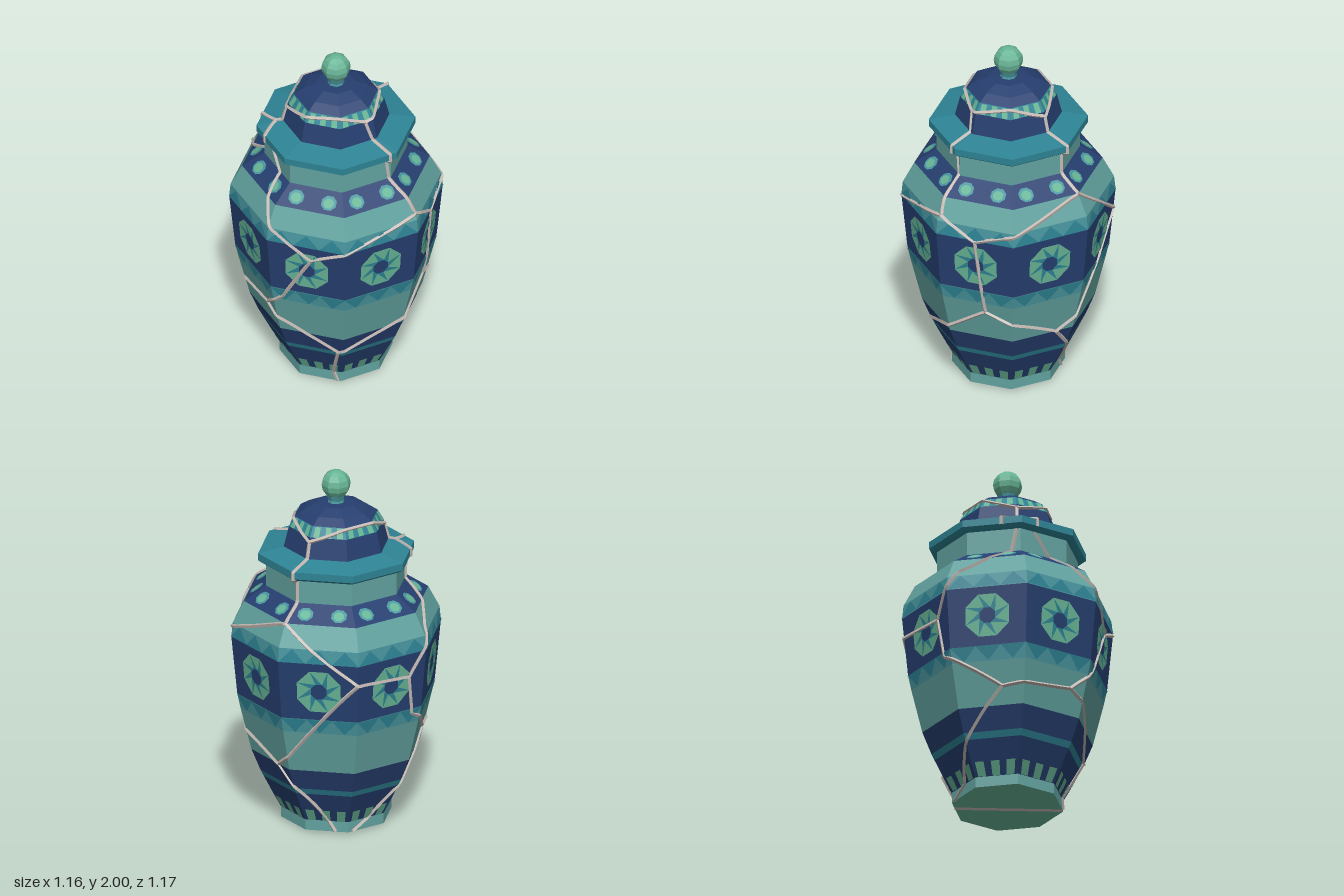
import * as THREE from 'three';
import { mergeGeometries } from 'three/addons/utils/BufferGeometryUtils.js';

const NAVY = 0x263f70, TEAL = 0x2e8495, MID = 0x4a97a0, PALE = 0x62a3a0, GREEN = 0x68b596, SEAM = 0xc4b8b2;
const SIDES = 8, STEP = Math.PI / 4;

// [radius, height, colour of the band above this level]
const BODY = [
  [0.305, 0.01, PALE], [0.305, 0.07, NAVY], [0.345, 0.145, NAVY], [0.40, 0.255, TEAL], [0.417, 0.29, NAVY],
  [0.467, 0.415, PALE], [0.527, 0.66, MID], [0.545, 0.745, NAVY], [0.578, 1.08, MID],
  [0.57, 1.16, PALE], [0.508, 1.28, NAVY], [0.387, 1.36, PALE], [0.387, 1.5, PALE],
];
const RIM = [[0.36, 1.49], [0.41, 1.495], [0.43, 1.51], [0.43, 1.55], [0.285, 1.58]];
const DOME = [
  [0.29, 1.575, NAVY], [0.26, 1.695, TEAL], [0.228, 1.75, NAVY], [0.175, 1.785, NAVY], [0.105, 1.815, NAVY], [0, 1.82, NAVY],
];
const KNOB_STEM = [[0.05, 1.8], [0.043, 1.83], [0.055, 1.87], [0.04, 1.89]];

function radiusAt(profile, y) {
  for (let i = 1; i < profile.length; i++) {
    const [r0, y0] = profile[i - 1], [r1, y1] = profile[i];
    if (y <= y1) return r0 + (r1 - r0) * Math.max(0, (y - y0) / (y1 - y0));
  }
  return profile[profile.length - 1][0];
}

function lathe(points) {
  return new THREE.LatheGeometry(points.map(([r, y]) => new THREE.Vector2(r, y)), SIDES);
}

function addMesh(parent, name, geometry, color) {
  const mesh = new THREE.Mesh(geometry, new THREE.MeshStandardMaterial({ color, flatShading: true }));
  mesh.name = name;
  parent.add(mesh);
}

// one mesh per colour, made of all the bands of that colour
function addBands(parent, name, profile) {
  for (const color of new Set(profile.slice(0, -1).map((p) => p[2]))) {
    const rings = [];
    for (let i = 0; i < profile.length - 1; i++) {
      if (profile[i][2] === color) rings.push(lathe([profile[i], profile[i + 1]]));
    }
    addMesh(parent, name, mergeGeometries(rings), color);
  }
}

// flat inlays: polygons drawn in (across, height), repeated on all eight facets
function addInlay(parent, name, profile, polygons, color, lift = 0.004) {
  const pos = [];
  for (let k = 0; k < SIDES; k++) {
    const a = (k + 0.5) * STEP, s = Math.sin(a), c = Math.cos(a);
    const put = ([u, y]) => {
      const d = radiusAt(profile, y) * Math.cos(STEP / 2) + lift;
      pos.push(s * d + c * u, y, c * d - s * u);
    };
    for (const poly of polygons) {
      for (let i = 1; i < poly.length - 1; i++) [poly[0], poly[i], poly[i + 1]].forEach(put);
    }
  }
  const geo = new THREE.BufferGeometry();
  geo.setAttribute('position', new THREE.Float32BufferAttribute(pos, 3));
  geo.computeVertexNormals();
  addMesh(parent, name, geo, color);
}

const halfWidth = (profile, y) => radiusAt(profile, y) * Math.sin(STEP / 2);
const octagon = (u, y, rx, ry) => Array.from({ length: 8 }, (_, i) => {
  const a = (i + 0.5) * STEP;
  return [u + rx * Math.cos(a), y + ry * Math.sin(a)];
});

// n evenly spaced bars per facet
function bars(profile, n, y0, y1, fill) {
  return Array.from({ length: n }, (_, i) => {
    const f = (2 * i + 1) / n - 1, h = fill / n;
    const w0 = halfWidth(profile, y0), w1 = halfWidth(profile, y1);
    return [[(f - h) * w0, y0], [(f + h) * w0, y0], [(f + h) * w1, y1], [(f - h) * w1, y1]];
  });
}

// n triangles per facet, pointing from the base level to the tip level
function teeth(profile, n, base, tip) {
  return Array.from({ length: n }, (_, i) => {
    const f = (2 * i + 1) / n - 1, w = halfWidth(profile, base);
    const tri = [[(f - 1 / n) * w, base], [(f + 1 / n) * w, base], [f * halfWidth(profile, tip), tip]];
    return tip > base ? tri : tri.reverse();
  });
}

// point on the octagonal surface: angle in degrees from the front towards +x
function onOctagon(deg, r, y) {
  const a = THREE.MathUtils.degToRad(deg);
  const local = (((a % STEP) + STEP) % STEP) - STEP / 2;
  const d = r * Math.cos(STEP / 2) / Math.cos(local);
  return new THREE.Vector3(Math.sin(a) * d, y, Math.cos(a) * d);
}

// seam through [angle, height] on a profile, or [angle, height, radius]
function seam(knots, profile) {
  const pts = [];
  for (let i = 1; i < knots.length; i++) {
    const [a0, y0, r0] = knots[i - 1], [a1, y1, r1] = knots[i];
    for (let j = i === 1 ? 0 : 1; j <= 12; j++) {
      const t = j / 12, y = y0 + (y1 - y0) * t;
      const r = profile ? radiusAt(profile, y) : r0 + (r1 - r0) * t;
      pts.push(onOctagon(a0 + (a1 - a0) * t, r, y));
    }
  }
  const path = new THREE.CatmullRomCurve3(pts, false, 'centripetal');
  return new THREE.TubeGeometry(path, pts.length * 2, 0.0115, 4);
}

export function createModel() {
  const model = new THREE.Group();
  model.name = 'liddedJar';

  // jar body and base
  const body = new THREE.Group();
  body.name = 'jarBody';
  model.add(body);
  addBands(body, 'bodyBand', BODY);
  addMesh(body, 'base', lathe([[0, 0.01], [0.305, 0.01]]), GREEN);

  // painted patterns on the body
  addInlay(body, 'footBars', BODY, bars(BODY, 3, 0.07, 0.143, 0.55), GREEN);
  addInlay(body, 'lowerTeeth', BODY, teeth(BODY, 3, 0.743, 0.662), TEAL);
  addInlay(body, 'upperTeeth', BODY, teeth(BODY, 3, 1.082, 1.158), TEAL);

  // pinwheel medallions
  const outer = octagon(0, 0.915, 0.13, 0.13), inner = octagon(0, 0.915, 0.047, 0.047);
  const vanes = [], gaps = [];
  for (let i = 0; i < 8; i++) {
    const j = (i + 1) % 8;
    vanes.push([outer[i], outer[j], inner[i]]);
    gaps.push([outer[j], inner[j], inner[i]]);
  }
  addInlay(body, 'medallionVanes', BODY, vanes, GREEN);
  addInlay(body, 'medallionGaps', BODY, gaps, TEAL);

  // shoulder dots
  const dots = (r) => [-0.092, 0.092].map((u) => octagon(u, 1.32, r, r * 0.57));
  addInlay(body, 'dotRims', BODY, dots(0.045), MID, 0.005);
  addInlay(body, 'dotCentres', BODY, dots(0.03), GREEN, 0.009);

  // lid with rim, dome and knob
  const lid = new THREE.Group();
  lid.name = 'lid';
  model.add(lid);
  addMesh(lid, 'lidRim', lathe(RIM), TEAL);
  addBands(lid, 'domeBand', DOME);
  addInlay(lid, 'domeChecks', DOME, bars(DOME, 3, 1.697, 1.748, 0.5), GREEN);
  addMesh(lid, 'knobStem', lathe(KNOB_STEM), MID);
  const ball = new THREE.SphereGeometry(0.08, 8, 8);
  ball.translate(0, 1.92, 0);
  addMesh(lid, 'knob', ball, GREEN);

  // repaired cracks over the body
  const bodySeams = [
    [[-4, 1.49], [1, 1.19], [-44, 1.08], [-65, 0.99]],
    [[1, 1.19], [22, 1.07], [27, 0.6], [0, 0.45], [-48, 0.29], [-52, 0.07], [-48, 0.012]],
    [[90, 1.49], [90, 1.28], [22, 1.07]],
    [[90, 1.28], [135, 0.965], [170, 0.945], [185, 1.19], [218, 1.36], [222, 1.49]],
    [[135, 0.965], [90, 0.49], [78, 0.415], [27, 0.6]],
    [[78, 0.415], [115, 0.07], [122, 0.012]],
    [[170, 0.945], [174, 0.72], [211, 0.52], [260, 0.56], [282, 0.45], [312, 0.29]],
    [[211, 0.52], [160, 0.07], [140, 0.012]],
    [[260, 0.56], [276, 0.69], [295, 0.99], [272, 1.155], [254, 1.36], [238, 1.49]],
  ].map((k) => seam(k, BODY));
  const across = new THREE.LineCurve3(onOctagon(122, 0.305, 0.0115), onOctagon(-48, 0.305, 0.0115));
  bodySeams.push(new THREE.TubeGeometry(across, 1, 0.0115, 4));
  addMesh(body, 'bodySeams', mergeGeometries(bodySeams), SEAM);

  // repaired cracks over the lid
  const down = (a, y, b) => [[a, y, radiusAt(DOME, y)], [b, 1.58, 0.288], [b, 1.55, 0.43], [b, 1.505, 0.43], [b, 1.49, 0.39]];
  const lidSeams = [
    seam([[-10, 1.69], [45, 1.74], [90, 1.67], [135, 1.74], [180, 1.74], [225, 1.67], [270, 1.72], [315, 1.74], [350, 1.69]], DOME),
    seam(down(-10, 1.69, -5)),
    seam(down(90, 1.67, 90)),
    seam([[225, 1.67, 0.265], [225, 1.58, 0.29], [224, 1.572, 0.325], [210, 1.55, 0.43], [210, 1.505, 0.43]]),
    seam([[224, 1.572, 0.325], [238, 1.55, 0.43], [238, 1.505, 0.43]]),
  ];
  addMesh(lid, 'lidSeams', mergeGeometries(lidSeams), SEAM);

  return model;
}
